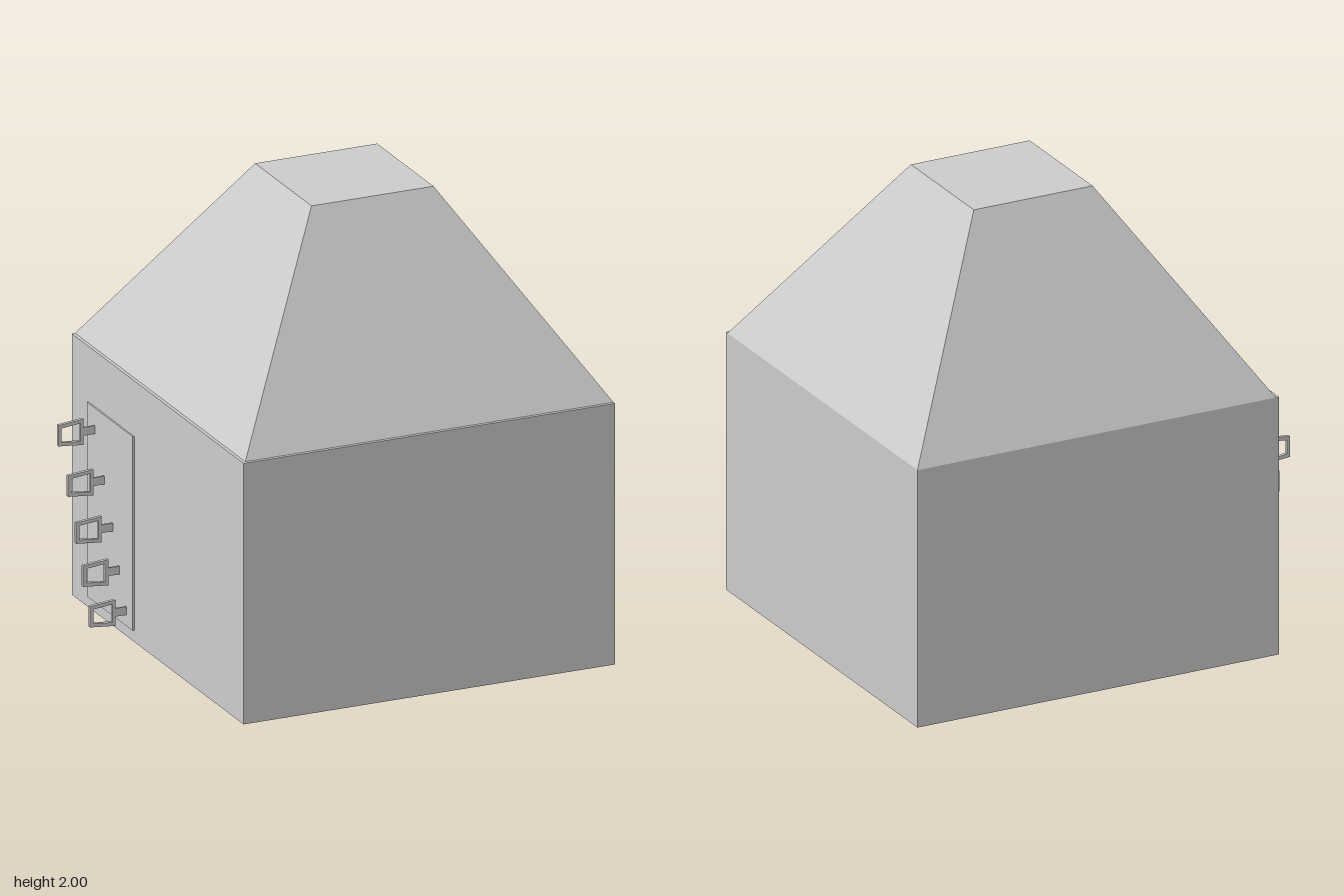
import * as THREE from 'three';

const material = new THREE.MeshStandardMaterial({ color: 0xcccccc, flatShading: true });

function addMesh(parent, name, geometry, x = 0, y = 0, z = 0) {
  const mesh = new THREE.Mesh(geometry, material);
  mesh.name = name;
  mesh.position.set(x, y, z);
  parent.add(mesh);
  return mesh;
}

// Box given by its minimum and maximum corners
function addBox(parent, name, [x0, y0, z0], [x1, y1, z1]) {
  const geometry = new THREE.BoxGeometry(x1 - x0, y1 - y0, z1 - z0);
  return addMesh(parent, name, geometry, (x0 + x1) / 2, (y0 + y1) / 2, (z0 + z1) / 2);
}

// Box whose top face is shrunk to form a truncated pyramid
function frustumGeometry(width, height, depth, topWidth, topDepth) {
  const geometry = new THREE.BoxGeometry(width, height, depth);
  const p = geometry.attributes.position;
  for (let i = 0; i < p.count; i++) {
    if (p.getY(i) > 0) p.setXYZ(i, p.getX(i) * topWidth / width, p.getY(i), p.getZ(i) * topDepth / depth);
  }
  geometry.computeVertexNormals();
  return geometry;
}

// Trapezoid ring, taller on the side towards the wall
function handleRingGeometry(thickness) {
  const ring = (outerX, outerY, innerX, innerY) => [
    new THREE.Vector2(outerX, -outerY), new THREE.Vector2(innerX, -innerY),
    new THREE.Vector2(innerX, innerY), new THREE.Vector2(outerX, outerY),
  ];
  const shape = new THREE.Shape(ring(-0.935, 0.046, -0.82, 0.057));
  shape.holes.push(new THREE.Path(ring(-0.92, 0.031, -0.834, 0.04).reverse()));
  const geometry = new THREE.ExtrudeGeometry(shape, { depth: thickness, bevelEnabled: false });
  geometry.translate(0, 0, -thickness / 2);
  return geometry;
}

export function createModel() {
  const model = new THREE.Group();
  model.name = 'hut';

  // Walls and sloping roof
  addBox(model, 'walls', [-0.76, 0, -0.845], [0.93, 1.15, 0.845]);
  addMesh(model, 'roof', frustumGeometry(1.675, 0.85, 1.675, 0.555, 0.555), 0.0925, 1.575, -0.0075);

  // Door panel on the right wall
  addBox(model, 'door', [-0.767, 0.05, -0.68], [-0.75, 0.905, -0.23]);

  // Handles running diagonally down the door
  const ring = handleRingGeometry(0.015);
  const spots = [[0.81, -0.605], [0.62, -0.51], [0.44, -0.43], [0.273, -0.363], [0.118, -0.293]];
  for (const [y, z] of spots) {
    const handle = new THREE.Group();
    handle.name = 'handle';
    handle.position.set(0, y, z);
    addMesh(handle, 'handleRing', ring);
    addBox(handle, 'handleStem', [-0.825, -0.018, -0.004], [-0.76, 0.018, 0.004]);
    model.add(handle);
  }
  return model;
}
